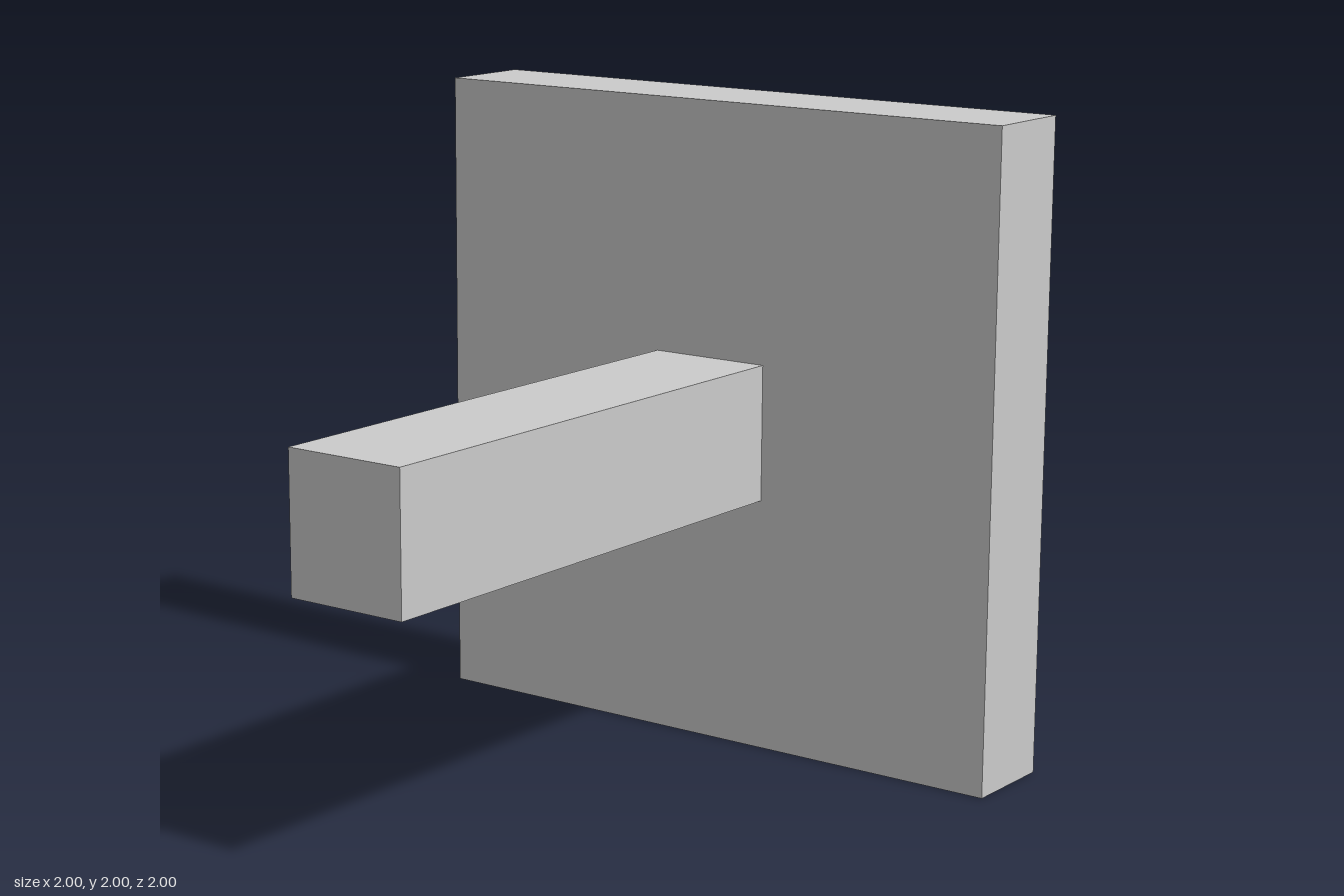
import * as THREE from 'three';

export function createModel() {
  const group = new THREE.Group();
  const material = new THREE.MeshStandardMaterial({ color: 0xcccccc, flatShading: true });

  const addBox = (name, size, position) => {
    const mesh = new THREE.Mesh(new THREE.BoxGeometry(...size), material);
    mesh.name = name;
    mesh.position.set(...position);
    group.add(mesh);
  };

  const plateFront = -0.693;

  // Square plate at the back
  addBox('backPlate', [2, 2, plateFront + 1], [0, 1, (plateFront - 1) / 2]);

  // Bar reaching forward from the middle of the plate
  addBox('bar', [0.394, 0.422, 1 - plateFront], [0, 1, (1 + plateFront) / 2]);

  return group;
}
